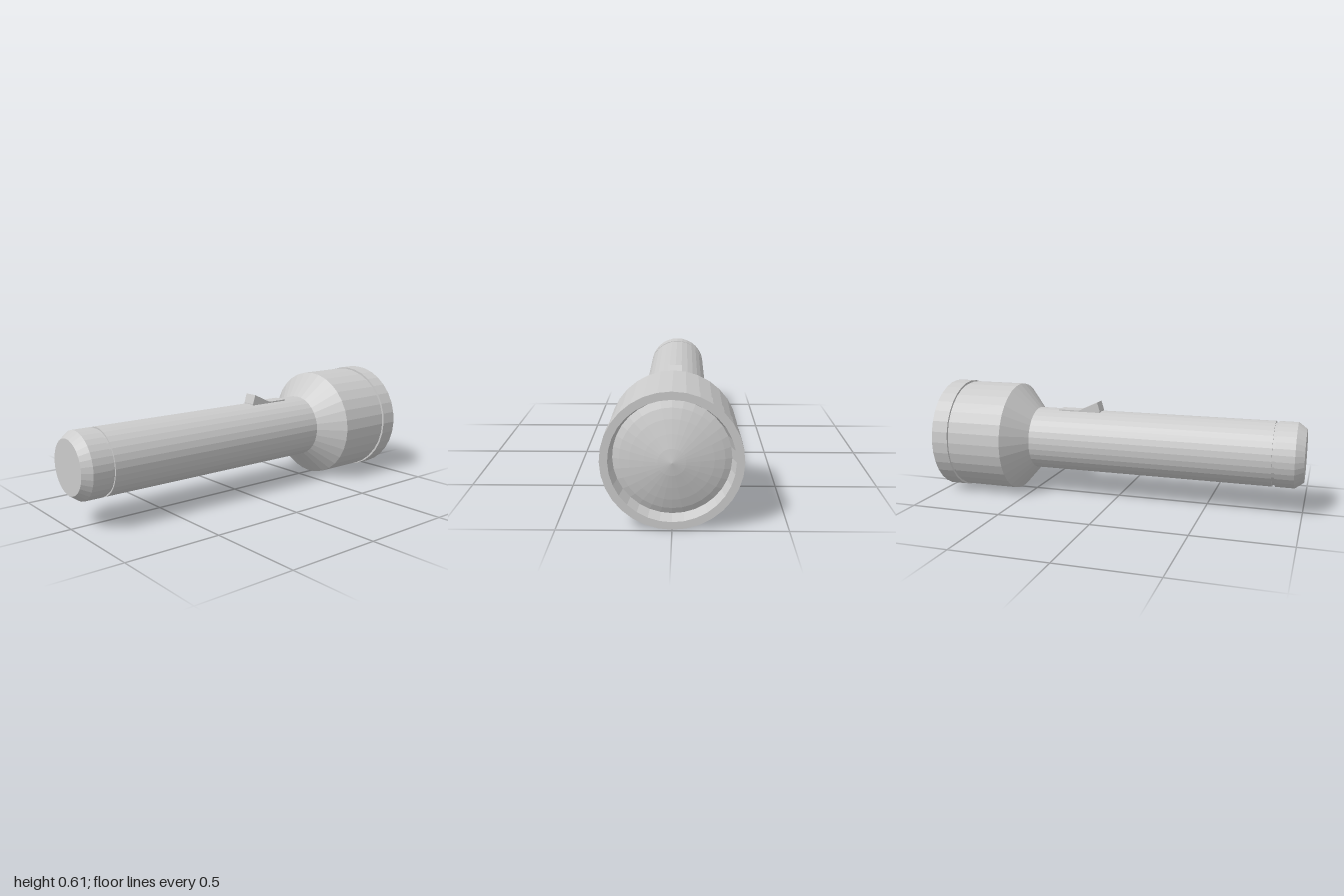
import * as THREE from 'three';

const AXIS_Y = 0.306;
const SIDES = 32;

export function createModel() {
  const group = new THREE.Group();
  const material = new THREE.MeshStandardMaterial({ color: 0xcccccc, flatShading: true });

  function add(name, geometry) {
    const mesh = new THREE.Mesh(geometry, material);
    mesh.name = name;
    group.add(mesh);
  }

  // Turned part: [radius, z] pairs running from the lens end to the tail
  function turned(name, profile) {
    const points = profile.map(([r, z]) => new THREE.Vector2(r, z));
    const geometry = new THREE.LatheGeometry(points, SIDES);
    geometry.rotateX(Math.PI / 2).translate(0, AXIS_Y, 0);
    add(name, geometry);
  }

  // Shallow domed lens, recessed at its edge
  turned('lens', [[0, -1], [0.06, -0.99], [0.12, -0.976], [0.18, -0.96], [0.225, -0.945], [0.255, -0.93]]);

  // Bezel ring around the lens
  turned('bezel', [[0.255, -0.93], [0.27, -0.99], [0.305, -0.99], [0.305, -0.897], [0.294, -0.897]]);

  // Head with the groove behind the bezel and the flare down to the barrel
  turned('head', [[0.294, -0.897], [0.294, -0.882], [0.3, -0.882], [0.3, -0.585], [0.171, -0.47]]);

  // Barrel, ending in the tail groove
  turned('barrel', [[0.171, -0.47], [0.171, 0.842], [0.163, 0.842], [0.163, 0.858]]);

  // Tail cap with a bevelled, closed end
  turned('tailCap', [[0.163, 0.858], [0.171, 0.858], [0.171, 0.955], [0.138, 1], [0, 1]]);

  // Sliding switch: a wedge on a thin plate, profile in z and y
  const width = 0.074;
  const wedge = new THREE.Shape([
    [-0.1, 0.465], [-0.1, 0.48], [-0.115, 0.529], [-0.22, 0.48], [-0.22, 0.465],
  ].map(([z, y]) => new THREE.Vector2(z, y)));
  const wedgeGeometry = new THREE.ExtrudeGeometry(wedge, { depth: width, bevelEnabled: false });
  wedgeGeometry.rotateY(-Math.PI / 2).translate(width / 2, 0, 0);
  add('switchButton', wedgeGeometry);

  const plate = new THREE.BoxGeometry(width, 0.015, 0.12);
  plate.translate(0, 0.472, -0.278);
  add('switchPlate', plate);

  return group;
}
